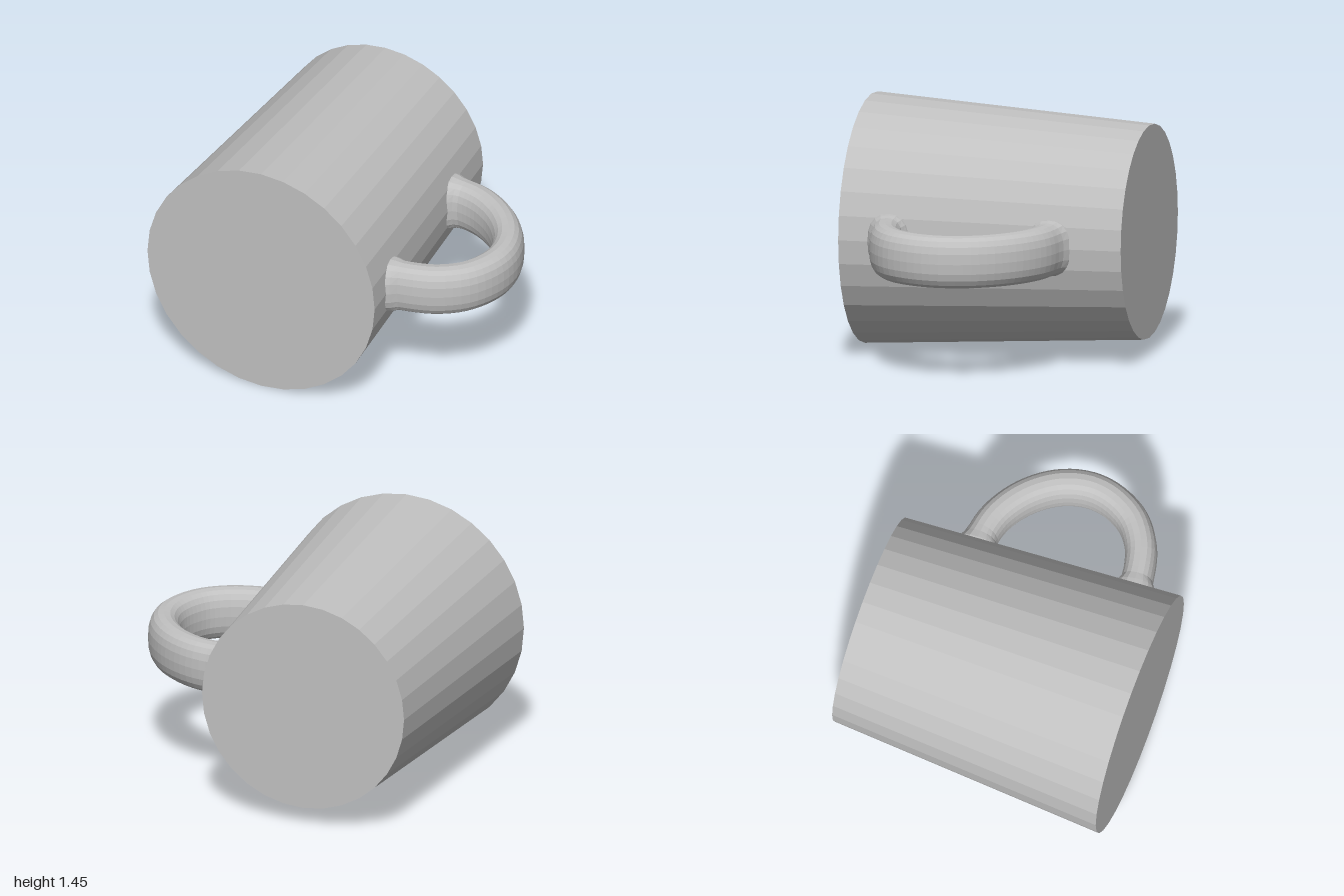
import * as THREE from 'three';

const CX = -0.277, CY = 0.725, FRONT_R = 0.724, BACK_R = 0.622, HALF = 0.828;

// Radius of the tapered body at depth z
const bodyRadius = (z) => THREE.MathUtils.lerp(BACK_R, FRONT_R, (z + HALF) / (2 * HALF));

// Loop handle: rounded section swept along a path in the xz plane, flaring where it meets the body
function handleGeometry(steps = 44, sides = 20) {
  const path = new THREE.CatmullRomCurve3([
    [0.28, -0.4], [0.44, -0.4], [0.58, -0.36], [0.74, -0.25], [0.86, -0.09], [0.908, 0.08],
    [0.89, 0.23], [0.81, 0.38], [0.68, 0.477], [0.56, 0.515], [0.42, 0.535], [0.28, 0.555],
  ].map(([x, z]) => new THREE.Vector3(x, CY, z)));
  const round = (v) => Math.sign(v) * Math.abs(v) ** 0.82;
  const pos = [], index = [];
  for (let i = 0; i <= steps; i++) {
    const p = path.getPointAt(i / steps), t = path.getTangentAt(i / steps);
    const gap = p.x - (CX + bodyRadius(p.z));
    const flare = 0.035 * THREE.MathUtils.clamp(1 - gap / 0.06, 0, 1) ** 2;
    for (let j = 0; j < sides; j++) {
      const a = (j / sides) * Math.PI * 2;
      const out = (0.093 + flare) * round(Math.cos(a));
      const up = (0.153 + flare * 0.3) * round(Math.sin(a));
      pos.push(p.x + t.z * out, p.y + up, p.z - t.x * out);
      if (i < steps) {
        const k = i * sides + j, n = i * sides + (j + 1) % sides;
        index.push(k, n, k + sides, n, n + sides, k + sides);
      }
    }
  }
  const g = new THREE.BufferGeometry();
  g.setAttribute('position', new THREE.Float32BufferAttribute(pos, 3));
  g.setIndex(index);
  g.computeVertexNormals();
  return g;
}

export function createModel() {
  const group = new THREE.Group();
  group.name = 'mug';
  const grey = new THREE.MeshStandardMaterial({ color: 0xc0c0c0, flatShading: true });
  grey.name = 'grey';

  // Solid tapered body lying along z, wide base to the front
  const body = new THREE.Mesh(
    new THREE.CylinderGeometry(FRONT_R, BACK_R, 2 * HALF, 32).rotateX(Math.PI / 2), grey);
  body.position.set(CX, CY, 0);
  body.name = 'body';

  const handle = new THREE.Mesh(handleGeometry(), grey);
  handle.name = 'handle';

  group.add(body, handle);
  return group;
}
